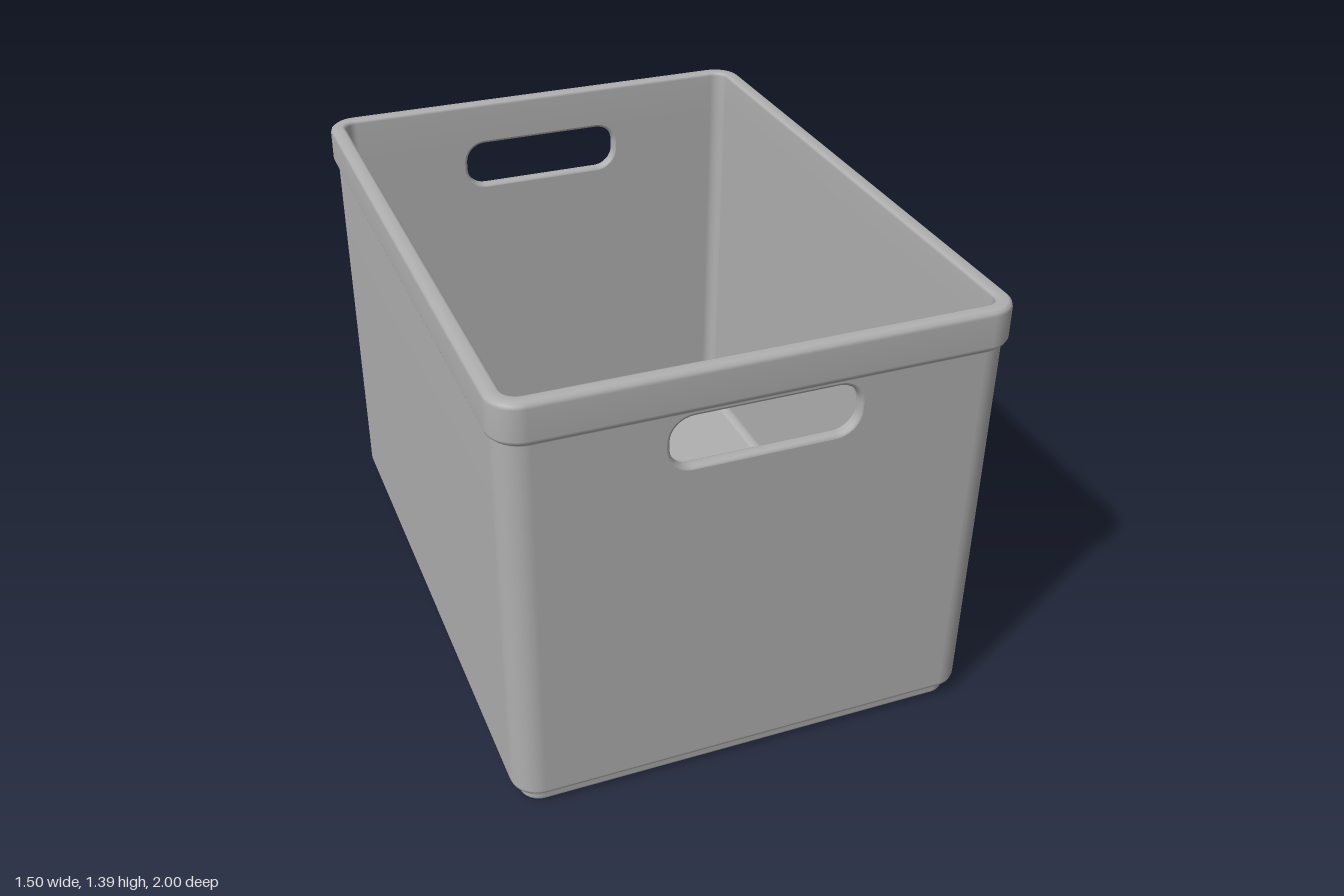
import * as THREE from 'three';

const DEPTH = 0.25; // half depth minus half width
const STEPS = 8; // segments per rounded corner

// Wall section [half width, y, corner radius]: up the outside, over the lip, down the inside
const PROFILE = [
  [0.692, 0, 0.06], [0.698, 0.003, 0.06], [0.70, 0.01, 0.06], [0.70, 0.034, 0.06],
  [0.704, 0.042, 0.065], [0.716, 0.046, 0.075], [0.724, 0.051, 0.08], [0.728, 0.062, 0.085],
  [0.736, 1.257, 0.085], [0.739, 1.263, 0.085], [0.746, 1.269, 0.09], [0.75, 1.28, 0.09],
  [0.75, 1.372, 0.09], [0.747, 1.382, 0.088], [0.738, 1.389, 0.08], [0.712, 1.389, 0.055],
  [0.704, 1.386, 0.047], [0.70, 1.378, 0.043], [0.698, 1.257, 0.042],
  [0.688, 0.062, 0.04], [0.684, 0.045, 0.04], [0.674, 0.034, 0.035], [0.665, 0.03, 0.03],
];
const OUTER = 7, INNER = 18; // profile spans that carry the handle holes

// Rounded rectangle as 2D points with outward directions
function ring(hx, hy, r) {
  const pts = [];
  for (let k = 0; k < 4; k++) {
    const sx = k === 0 || k === 3 ? 1 : -1, sy = k < 2 ? 1 : -1;
    for (let i = 0; i <= STEPS; i++) {
      const a = (k + i / STEPS) * Math.PI / 2, c = Math.cos(a), s = Math.sin(a);
      pts.push({ x: sx * (hx - r) + r * c, y: sy * (hy - r) + r * s, c, s });
    }
  }
  return pts;
}

// Shell without the front and back panels that hold the handles
function shellGeometry() {
  const pos = [], nor = [], idx = [], n = 4 * (STEPS + 1);
  PROFILE.forEach(([h, y, r], j) => {
    const a = PROFILE[Math.max(j - 1, 0)], b = PROFILE[Math.min(j + 1, PROFILE.length - 1)];
    const out = b[1] - a[1], up = a[0] - b[0], len = Math.hypot(out, up);
    for (const p of ring(h, h + DEPTH, r)) {
      pos.push(p.x, y, p.y);
      nor.push(p.c * out / len, up / len, p.s * out / len);
    }
    if (j === PROFILE.length - 1) return;
    for (let i = 0; i < n; i++) {
      const panel = i === STEPS || i === 3 * STEPS + 2;
      if (panel && (j === OUTER || j === INNER)) continue;
      const k = (i + 1) % n, p = j * n, q = p + n;
      idx.push(p + i, q + k, p + k, p + i, q + i, q + k);
    }
  });
  const g = new THREE.BufferGeometry();
  g.setAttribute('position', new THREE.Float32BufferAttribute(pos, 3));
  g.setAttribute('normal', new THREE.Float32BufferAttribute(nor, 3));
  g.setIndex(idx);
  return g;
}

// Depth of a wall surface at height y
function wallZ(span, y) {
  const a = PROFILE[span], b = PROFILE[span + 1];
  return DEPTH + a[0] + (b[0] - a[0]) * (y - a[1]) / (b[1] - a[1]);
}

// Handle outline, grown by g
const handle = (g) => ring(0.275 + g, 0.078 + g, 0.066 + g)
  .map((p) => new THREE.Vector2(p.x, p.y + 1.165));

// Sloping wall panel with the handle hole
function panelGeometry(span, flip) {
  const [a, b] = [PROFILE[span], PROFILE[span + 1]];
  const wa = a[0] - a[2], wb = b[0] - b[2];
  const shape = new THREE.Shape([[-wa, a[1]], [wa, a[1]], [wb, b[1]], [-wb, b[1]]]
    .map(([x, y]) => new THREE.Vector2(x, y)));
  shape.holes.push(new THREE.Path(handle(0.01)));
  const g = new THREE.ShapeGeometry(shape), p = g.attributes.position;
  for (let i = 0; i < p.count; i++) p.setZ(i, wallZ(span, p.getY(i)));
  if (flip) g.index.array.reverse();
  g.computeVertexNormals();
  return g;
}

// Rounded edge and inside of the handle hole
function sleeveGeometry() {
  const rows = [[0.01, 0, 0], [0.004, 0.002, 0], [0, 0.009, 0],
    [0, 0.009, 1], [0.004, 0.002, 1], [0.01, 0, 1]];
  const pos = [], idx = [], n = 4 * (STEPS + 1);
  rows.forEach(([grow, inset, inside], j) => {
    for (const p of handle(grow)) {
      pos.push(p.x, p.y, inside ? wallZ(INNER, p.y) + inset : wallZ(OUTER, p.y) - inset);
    }
    if (j === rows.length - 1) return;
    for (let i = 0; i < n; i++) {
      const k = (i + 1) % n, p = j * n, q = p + n;
      idx.push(p + i, p + k, q + k, p + i, q + k, q + i);
    }
  });
  const g = new THREE.BufferGeometry();
  g.setAttribute('position', new THREE.Float32BufferAttribute(pos, 3));
  g.setIndex(idx);
  g.computeVertexNormals();
  return g;
}

// Flat floor face, looking up or down
function floorGeometry([h, y, r], up) {
  const pts = ring(h, h + DEPTH, r).map((p) => new THREE.Vector2(p.x, p.y));
  return new THREE.ShapeGeometry(new THREE.Shape(pts))
    .rotateX(up ? -Math.PI / 2 : Math.PI / 2).translate(0, y, 0);
}

export function createModel() {
  const model = new THREE.Group();
  model.name = 'storageBin';
  const plastic = new THREE.MeshStandardMaterial({ color: 0xb0b0b0, side: THREE.DoubleSide });
  plastic.name = 'greyPlastic';

  const add = (parent, name, geometry) => {
    const mesh = new THREE.Mesh(geometry, plastic);
    mesh.name = name;
    parent.add(mesh);
  };

  add(model, 'shellAndRim', shellGeometry());
  add(model, 'underside', floorGeometry(PROFILE[0], false));
  add(model, 'innerFloor', floorGeometry(PROFILE[PROFILE.length - 1], true));

  // Front and back walls with handle holes
  const outer = panelGeometry(OUTER, false), inner = panelGeometry(INNER, true);
  const sleeve = sleeveGeometry();
  ['frontWall', 'backWall'].forEach((name, i) => {
    const wall = new THREE.Group();
    wall.name = name;
    add(wall, 'outerPanel', outer);
    add(wall, 'innerPanel', inner);
    add(wall, 'handleHole', sleeve);
    wall.rotation.y = i * Math.PI;
    model.add(wall);
  });
  return model;
}
